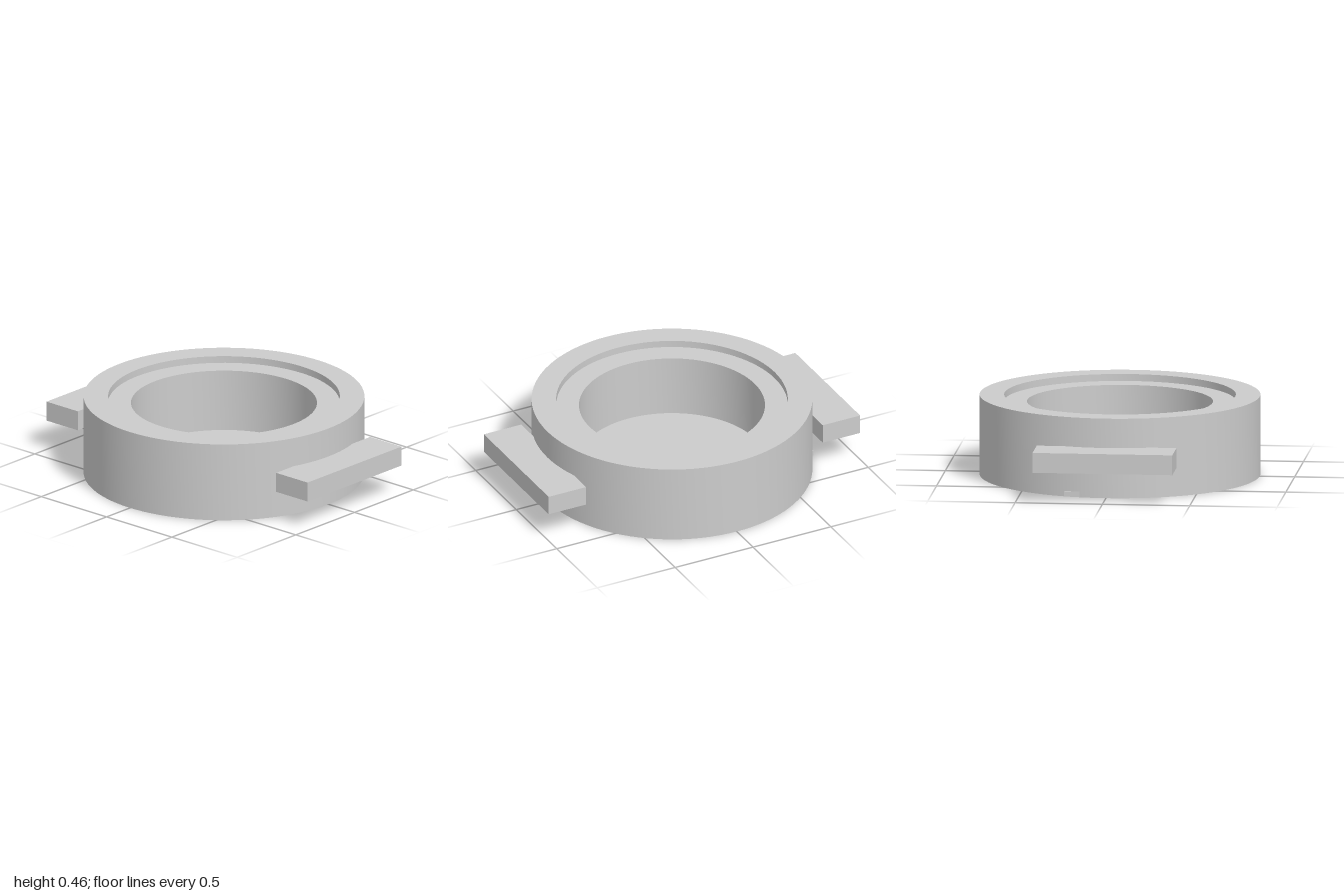
import * as THREE from 'three';
import { toCreasedNormals } from 'three/addons/utils/BufferGeometryUtils.js';

export function createModel() {
  const model = new THREE.Group();
  const grey = new THREE.MeshStandardMaterial({ color: 0xcccccc });
  grey.name = 'plain grey';

  function add(name, geometry, x = 0, y = 0, z = 0) {
    const mesh = new THREE.Mesh(geometry, grey);
    mesh.name = name;
    mesh.position.set(x, y, z);
    model.add(mesh);
  }

  // Round cup with a closed base, deep bore and shallow stepped recess
  const profile = [
    [0, 0], [0.8, 0], [0.8, 0.46], [0.66, 0.46],
    [0.66, 0.42], [0.53, 0.42], [0.53, 0.06], [0, 0.06],
  ].map(([r, y]) => new THREE.Vector2(r, y));
  add('body', toCreasedNormals(new THREE.LatheGeometry(profile, 96), 0.6));

  // Matching flat lugs at front and back, just overlapping the wall
  for (const side of [1, -1]) {
    add(side > 0 ? 'frontLug' : 'backLug',
      new THREE.BoxGeometry(0.8, 0.115, 0.24), 0, 0.2325, side * 0.88);
  }

  // Small tab at the foot of the back wall
  add('backTab', new THREE.BoxGeometry(0.23, 0.03, 0.04), 0.125, 0.017, -0.765);

  return model;
}
